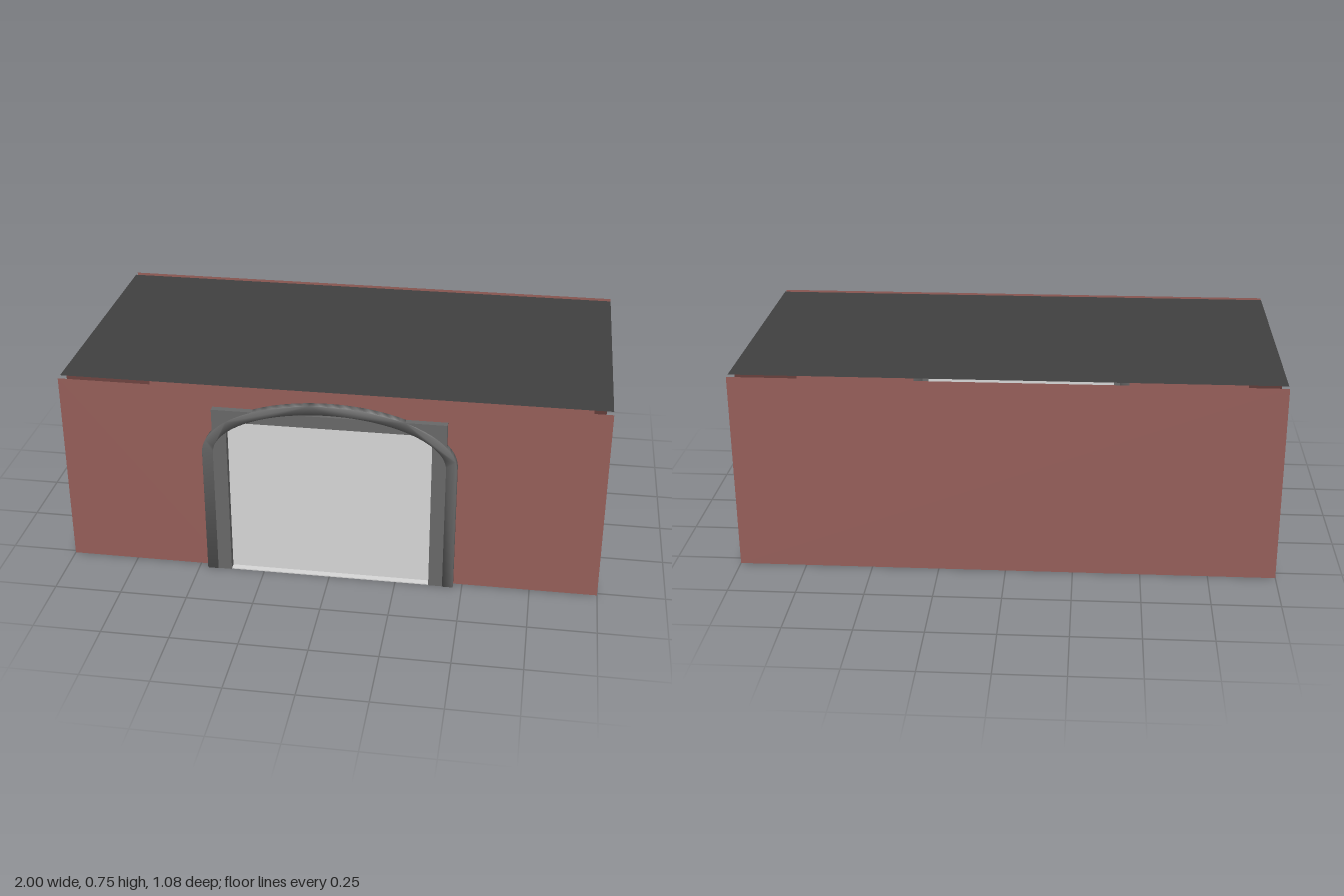
import * as THREE from 'three';
import { toCreasedNormals } from 'three/addons/utils/BufferGeometryUtils.js';

const HEIGHT = 0.75;
const FRONT = 0.512, BACK = -0.539;             // front and back walls
const DEPTH = 1, MID_Z = -0.014, SIDE_X = 0.975; // roof and side walls stand slightly apart from them

function material(name, color, side = THREE.FrontSide) {
  const m = new THREE.MeshStandardMaterial({ color, side });
  m.name = name;
  return m;
}

export function createModel() {
  const model = new THREE.Group();
  model.name = 'garage';
  const brick = material('brick red', 0x955e59, THREE.DoubleSide);
  const roofing = material('roof charcoal', 0x404040, THREE.DoubleSide);
  const frameGrey = material('frame grey', 0x686868);
  const doorGrey = material('door light grey', 0xd6d6d6);

  function add(name, geometry, mat, x = 0, y = 0, z = 0) {
    const mesh = new THREE.Mesh(geometry, mat);
    mesh.name = name;
    mesh.position.set(x, y, z);
    model.add(mesh);
    return mesh;
  }
  // Box given by its limits
  function box(name, mat, x0, x1, y0, y1, z0, z1) {
    return add(name, new THREE.BoxGeometry(x1 - x0, y1 - y0, z1 - z0), mat,
      (x0 + x1) / 2, (y0 + y1) / 2, (z0 + z1) / 2);
  }

  // Thin front wall, cut out around the door
  const wall = new THREE.Shape();
  [[-1, 0], [-0.4, 0], [-0.4, 0.65], [0.4, 0.65], [0.4, 0], [1, 0], [1, HEIGHT], [-1, HEIGHT]]
    .forEach(([x, y], i) => (i ? wall.lineTo(x, y) : wall.moveTo(x, y)));
  add('frontWall', new THREE.ShapeGeometry(wall), brick, 0, 0, FRONT);

  // Back wall and the slightly inset side walls
  add('backWall', new THREE.PlaneGeometry(2, HEIGHT), brick, 0, HEIGHT / 2, BACK).rotation.y = Math.PI;
  for (const s of [-1, 1]) {
    add(s > 0 ? 'leftWall' : 'rightWall', new THREE.PlaneGeometry(DEPTH, HEIGHT), brick,
      s * SIDE_X, HEIGHT / 2, MID_Z).rotation.y = s * Math.PI / 2;
  }

  // Flat roof sheet level with the wall tops
  add('roof', new THREE.PlaneGeometry(2, DEPTH), roofing, 0, HEIGHT, MID_Z).rotation.x = -Math.PI / 2;

  // Door panel and threshold
  box('door', doorGrey, -0.4, 0.4, 0, 0.65, 0.49, 0.511);
  box('threshold', doorGrey, -0.375, 0.375, 0, 0.004, 0.511, 0.535);

  // Square door frame
  for (const s of [-1, 1]) {
    box(s > 0 ? 'leftJamb' : 'rightJamb', frameGrey,
      s > 0 ? 0.375 : -0.427, s > 0 ? 0.427 : -0.375, 0, 0.63, 0.505, 0.537);
  }
  box('header', frameGrey, -0.427, 0.427, 0.63, 0.677, 0.505, 0.537);

  // Arched moulding: straight legs joined by a half ellipse, shaded softly like a pipe
  const arch = new THREE.Shape();
  arch.moveTo(0.467, 0);
  arch.lineTo(0.467, 0.5);
  arch.absellipse(0, 0.5, 0.467, 0.22, 0, Math.PI, false);
  arch.lineTo(-0.467, 0);
  arch.lineTo(-0.427, 0);
  arch.lineTo(-0.427, 0.5);
  arch.absellipse(0, 0.5, 0.427, 0.185, Math.PI, 0, true);
  arch.lineTo(0.427, 0);
  const archGeometry = new THREE.ExtrudeGeometry(arch, { depth: 0.034, bevelEnabled: false, curveSegments: 32 });
  add('archMoulding', toCreasedNormals(archGeometry, 1.7), frameGrey, 0, 0, 0.505);

  return model;
}
